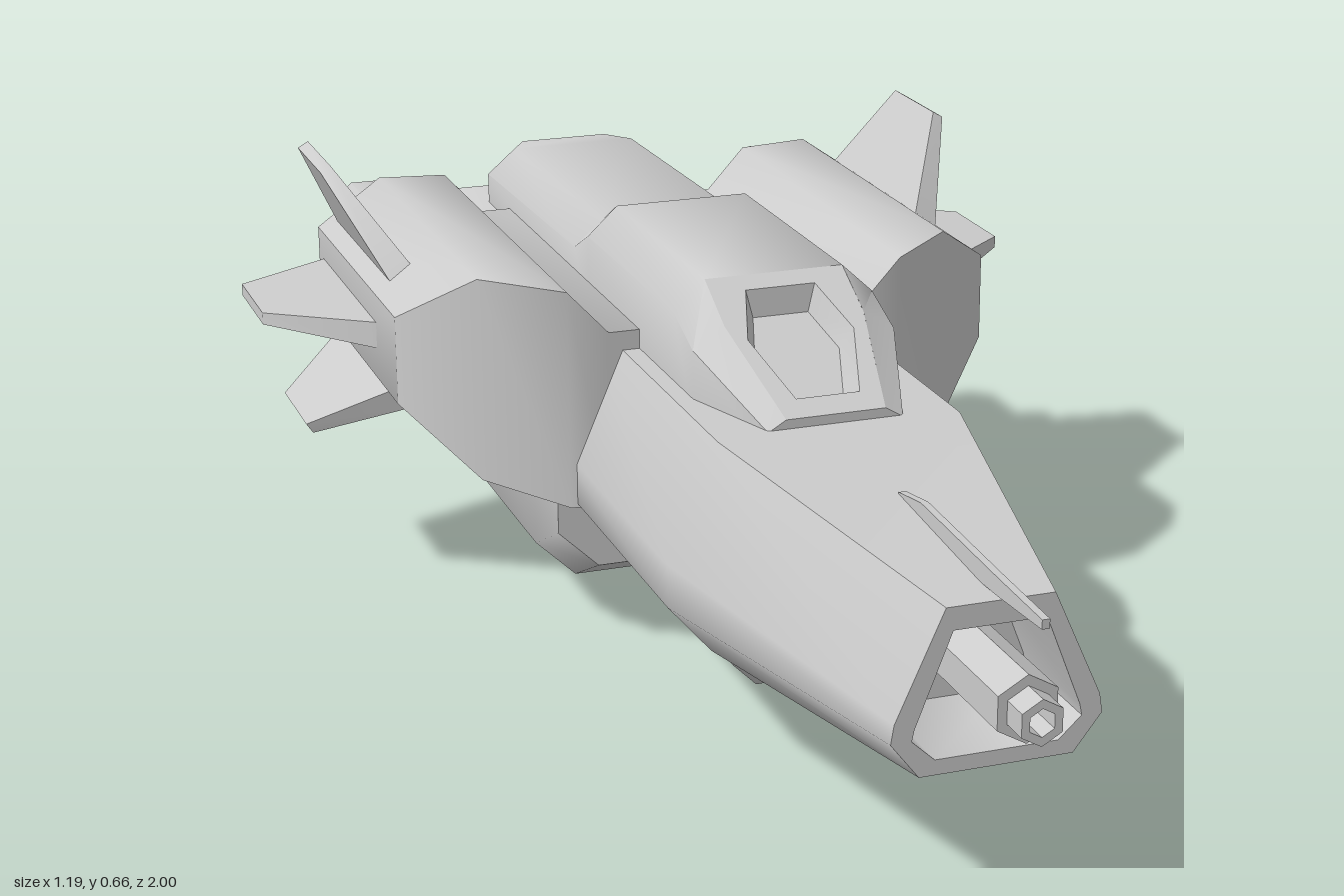
import * as THREE from 'three';
import { toCreasedNormals } from 'three/addons/utils/BufferGeometryUtils.js';

// Skin a run of equal-length rings; each ring turns counter-clockwise about the run direction.
function loft(rings, { skip = () => false, startCap = true } = {}) {
  const pos = [];
  const tri = (...pts) => pts.forEach((p) => pos.push(...p));
  const n = rings[0].length;
  for (let i = 0; i < rings.length - 1; i++) {
    for (let j = 0; j < n; j++) {
      if (skip(i, j)) continue;
      const k = (j + 1) % n;
      const [a, b, c, d] = [rings[i][j], rings[i][k], rings[i + 1][k], rings[i + 1][j]];
      tri(a, b, c);
      tri(a, c, d);
    }
  }
  const first = rings[0], last = rings[rings.length - 1];
  for (let j = 1; j < n - 1; j++) {
    if (startCap) tri(first[0], first[j + 1], first[j]);
    tri(last[0], last[j], last[j + 1]);
  }
  const geo = new THREE.BufferGeometry();
  geo.setAttribute('position', new THREE.Float32BufferAttribute(pos, 3));
  return toCreasedNormals(geo, 0.9);
}

// Ring mirrored over x = 0 from right-hand points listed bottom to top
const sym = (z, half) => [
  ...half.map(([x, y]) => [x, y, z]),
  ...[...half].reverse().map(([x, y]) => [-x, y, z]),
];

// Rectangle ring with cut corners
const cutRect = (z, w, h, c) => sym(z, [[w - c, -h], [w, -h + c], [w, h - c], [w - c, h]]);

// Six-sided ring with a corner at the top
const hexRing = (z, r) => Array.from({ length: 6 }, (_, i) => {
  const a = Math.PI / 6 + (i * Math.PI) / 3;
  return [r * Math.cos(a), r * Math.sin(a), z];
});

export function createModel() {
  const group = new THREE.Group();
  const material = new THREE.MeshStandardMaterial({ color: 0xcccccc });
  const add = (name, geo) => {
    const mesh = new THREE.Mesh(geo, material);
    mesh.name = name;
    group.add(mesh);
    return mesh;
  };

  // Front fuselage tapering to a hollow nose
  const hull = [[0.18, 0.18], [0.24, 0.25], [0.24, 0.31], [0.17, 0.472]];
  const nose = [[0.1, 0.217], [0.137, 0.265], [0.133, 0.29], [0.07, 0.43]];
  const mouth = [[0.08, 0.237], [0.11, 0.265], [0.107, 0.28], [0.06, 0.4]];
  add('frontFuselage', loft([
    sym(-0.15, hull), sym(0.37, hull), sym(0.88, nose), sym(0.88, mouth), sym(0.72, mouth),
  ]));

  // Stepped gun barrel in the nose
  add('noseGun', loft([
    hexRing(0.7, 0.044), hexRing(0.96, 0.044), hexRing(0.96, 0.03),
    hexRing(1, 0.03), hexRing(1, 0.018), hexRing(0.9, 0.018),
  ])).position.y = 0.325;

  // Thin probe on top of the nose
  add('noseProbe', loft([[0.58, 0.44, 0.457], [0.65, 0.43, 0.468], [0.88, 0.435, 0.458], [1, 0.442, 0.454]]
    .map(([z, lo, hi]) => sym(z, [[0.005, lo], [0.005, hi]]))));

  // Rear body with bevelled belly
  add('rearBody', loft([[-0.92, 0.13], [-0.78, 0.07], [-0.2, 0.07], [-0.08, 0.13]]
    .map(([z, b]) => sym(z, [[0.195, b], [0.255, b + 0.058], [0.255, 0.41], [0.19, 0.478]]))));

  // Keel under the belly
  add('keel', loft([[-0.56, 0.07], [-0.52, 0], [0.12, 0], [0.31, 0.18]]
    .map(([z, b]) => sym(z, [[0.025, b], [0.06, b + 0.035], [0.06, 0.24]]))));

  // Shoulder block with both side pods: x, bottom, top, front z
  const pod = [
    [0.19, 0.24, 0.5, -0.03], [0.25, 0.245, 0.565, -0.03],
    [0.355, 0.27, 0.57, -0.117], [0.455, 0.37, 0.5, -0.2],
  ];
  const slices = [...[...pod].reverse().map(([x, ...rest]) => [-x, ...rest]), ...pod];
  add('shoulderPods', loft(slices.map(([x, lo, hi, front]) => [
    [x, lo, -0.695], [x, hi, -0.695], [x, hi, front], [x, lo, front],
  ])));

  // Spine with raised cockpit; the sloped front is left open for the window
  const spine = [ // z, half width, top half width, shoulder height, top height
    [-0.875, 0.1, 0.07, 0.525, 0.56], [-0.82, 0.145, 0.1, 0.525, 0.563],
    [-0.34, 0.145, 0.1, 0.535, 0.573], [-0.27, 0.145, 0.1, 0.57, 0.612],
    [0.12, 0.145, 0.1, 0.57, 0.612], [0.2, 0.145, 0.1, 0.54, 0.569],
    [0.355, 0.095, 0.07, 0.47, 0.485],
  ];
  add('spine', loft(
    spine.map(([z, w, t, s, h]) => sym(z, [[w, 0.44], [w, s], [t, h]])),
    { skip: (i, j) => i >= 4 && j === 2 },
  ));

  // Window frame and recessed pane on the cockpit slope
  const slope = (0.612 - 0.485) / 0.235;
  const onSlope = (pts, sink = 0) => pts.map(([x, z]) =>
    [x, 0.612 - (z - 0.12) * slope - sink, z - sink * slope]);
  const frame = [[0.07, 0.355], [0.1, 0.2], [0.1, 0.12], [-0.1, 0.12], [-0.1, 0.2], [-0.07, 0.355]];
  const pane = [[0.045, 0.325], [0.076, 0.225], [0.05, 0.145], [-0.05, 0.145], [-0.076, 0.225], [-0.045, 0.325]];
  const paneIn = pane.map(([x, z]) => [x * 0.8, 0.235 + (z - 0.235) * 0.8]);
  add('cockpitWindow', loft([onSlope(frame), onSlope(pane), onSlope(paneIn, 0.03)], { startCap: false }));

  // Hollow exhaust with a bevelled rim, pointing backwards
  const nozzle = (name, x, y, w, h, c, from, to, rim) => {
    const mesh = add(name, loft([
      cutRect(from, w, h, c), cutRect(to - 0.025, w, h, c), cutRect(to, w - 0.02, h - 0.02, c * 0.8),
      cutRect(to, w - rim, h - rim, c * 0.5), cutRect(to - 0.09, w - rim - 0.015, h - rim - 0.015, c * 0.4),
    ]));
    mesh.position.set(x, y, 0);
    mesh.rotation.y = Math.PI;
  };
  nozzle('mainExhaust', 0, 0.302, 0.187, 0.123, 0.04, 0.85, 1, 0.038);

  // Tapered fin from a root point to a tip point in the x-y plane
  const fin = (name, bx, by, tx, ty) => {
    const d = new THREE.Vector2(tx - bx, ty - by).normalize();
    const ring = (x, y, t, back, front) =>
      [[-t, back], [t, back], [t, front], [-t, front]].map(([s, z]) => [x - d.y * s, y + d.x * s, z]);
    add(name, loft([ring(bx, by, 0.021, -0.67, -0.305), ring(tx, ty, 0.009, -0.61, -0.455)]));
  };

  for (const [side, s] of [['left', 1], ['right', -1]]) {
    nozzle(side + 'PodExhaust', s * 0.34, 0.43, 0.061, 0.102, 0.028, 0.65, 0.843, 0.026);
    fin(side + 'UpperFin', s * 0.405, 0.51, s * 0.49, 0.656);
    fin(side + 'MiddleFin', s * 0.44, 0.437, s * 0.595, 0.437);
    fin(side + 'LowerFin', s * 0.4, 0.345, s * 0.533, 0.256);
  }
  return group;
}
